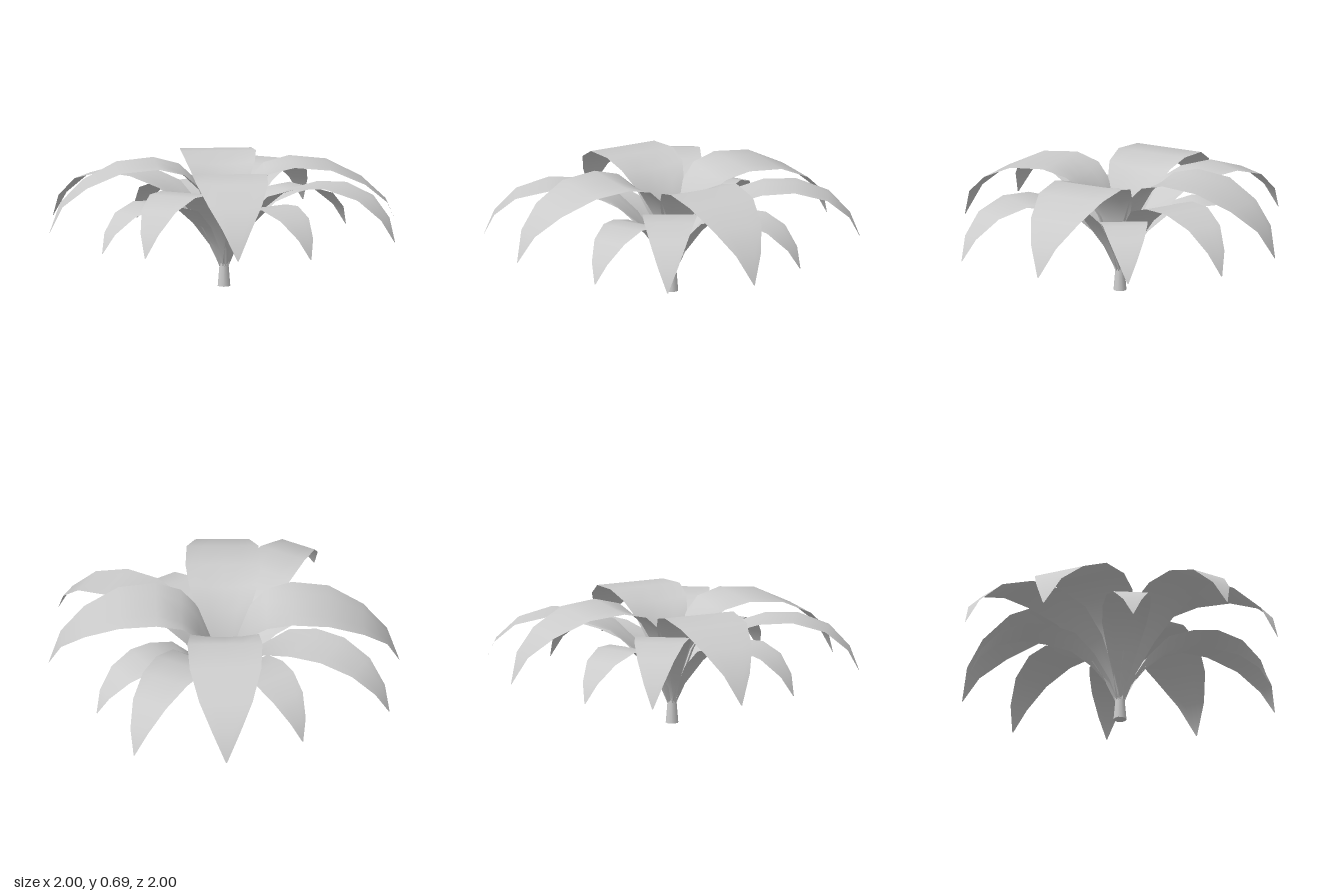
import * as THREE from 'three';

const material = new THREE.MeshStandardMaterial({ color: 0xcccccc, side: THREE.DoubleSide });

// Leaf blade along +z. Each row: [distance out, height, half width, rise of the edges]
function leafGeometry(rows) {
  const across = 4, positions = [], index = [];
  rows.forEach(([d, y, w, cup], r) => {
    for (let c = 0; c <= across; c++) {
      const t = (c / across) * 2 - 1;
      positions.push(t * w, y + cup * t * t, d);
      if (r < rows.length - 1 && c < across) {
        const a = r * (across + 1) + c, b = a + across + 1;
        index.push(a, b, a + 1, a + 1, b, b + 1);
      }
    }
  });
  const geometry = new THREE.BufferGeometry();
  geometry.setAttribute('position', new THREE.Float32BufferAttribute(positions, 3));
  geometry.setIndex(index);
  geometry.computeVertexNormals();
  return geometry;
}

// Four copies of a leaf, a quarter turn apart
function leafRing(name, rows, angle) {
  const ring = new THREE.Group();
  ring.name = name + 'Ring';
  const geometry = leafGeometry(rows);
  for (let i = 0; i < 4; i++) {
    const leaf = new THREE.Mesh(geometry, material);
    leaf.name = name;
    leaf.rotation.y = angle + (i * Math.PI) / 2;
    ring.add(leaf);
  }
  return ring;
}

export function createModel() {
  const model = new THREE.Group();
  model.name = 'plant';

  // Short stem, narrowing upwards
  const stem = new THREE.Mesh(new THREE.CylinderGeometry(0.024, 0.036, 0.14, 10), material);
  stem.name = 'stem';
  stem.position.y = 0.07;
  model.add(stem);

  // Broad upper leaves on the diagonals
  model.add(leafRing('upperLeaf', [
    [0.01, 0.10, 0.02, 0], [0.035, 0.25, 0.05, 0.01], [0.075, 0.41, 0.1, 0.02],
    [0.14, 0.54, 0.15, 0.03], [0.235, 0.635, 0.19, 0.02], [0.375, 0.69, 0.207, 0],
    [0.58, 0.67, 0.198, 0], [0.77, 0.58, 0.148, 0], [0.9, 0.465, 0.078, 0], [0.967, 0.305, 0.003, 0],
  ], Math.PI / 4));

  // Long middle leaves
  model.add(leafRing('middleLeaf', [
    [0.01, 0.10, 0.02, 0], [0.08, 0.25, 0.05, 0.01], [0.19, 0.41, 0.1, 0.015],
    [0.33, 0.535, 0.14, 0.01], [0.5, 0.6, 0.152, 0], [0.68, 0.61, 0.138, 0],
    [0.86, 0.555, 0.103, 0], [0.98, 0.445, 0.055, 0], [1.038, 0.318, 0.003, 0],
  ], Math.atan2(0.28, 1)));

  // Short lower leaves
  model.add(leafRing('lowerLeaf', [
    [0.01, 0.10, 0.02, 0], [0.06, 0.21, 0.04, 0.01], [0.15, 0.34, 0.085, 0.015],
    [0.26, 0.45, 0.122, 0.01], [0.4, 0.5, 0.132, 0], [0.53, 0.51, 0.122, 0],
    [0.67, 0.465, 0.096, 0], [0.775, 0.37, 0.05, 0], [0.825, 0.262, 0.003, 0],
  ], Math.atan2(-0.2, 0.8)));

  return model;
}
